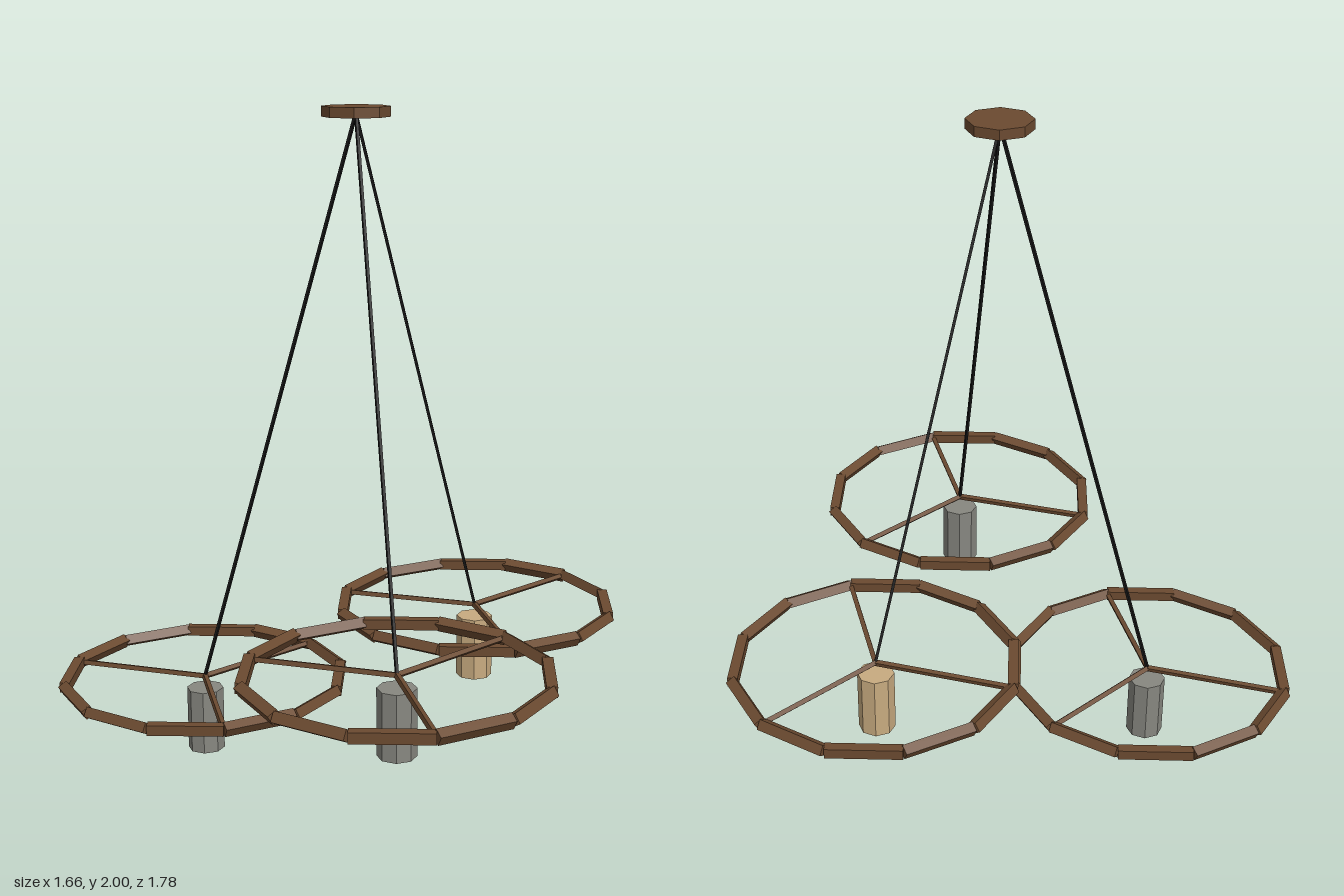
import * as THREE from 'three';

const mat = (name, color) => {
  const m = new THREE.MeshStandardMaterial({ color, flatShading: true });
  m.name = name;
  return m;
};

export function createModel() {
  const wood = mat('brown wood', 0x6b4a30);
  const cord = mat('black cord', 0x161616);
  const grey = mat('grey metal', 0x878780);
  const tan = mat('tan shade', 0xc8ab80);
  const UP = new THREE.Vector3(0, 1, 0);

  const add = (parent, name, geometry, material, position) => {
    const mesh = new THREE.Mesh(geometry, material);
    mesh.name = name;
    mesh.position.copy(position);
    parent.add(mesh);
    return mesh;
  };

  // Straight bar with a few sides running between two points
  const bar = (parent, name, a, b, radius, sides, material) => {
    const dir = b.clone().sub(a);
    const geometry = new THREE.CylinderGeometry(radius, radius, dir.length(), sides);
    const mesh = add(parent, name, geometry, material, a.clone().add(b).multiplyScalar(0.5));
    mesh.quaternion.setFromUnitVectors(UP, dir.normalize());
  };

  const model = new THREE.Group();
  model.name = 'ringChandelier';

  // Ceiling plate
  const canopyX = -0.127;
  add(model, 'ceilingPlate', new THREE.CylinderGeometry(0.098, 0.098, 0.03, 8), wood,
    new THREE.Vector3(canopyX, 1.985, 0));
  const anchor = new THREE.Vector3(canopyX, 1.98, 0);

  const ringRadius = 0.433;
  const spread = 0.505;
  const pendants = [
    { angle: 0, y: 0.405, shade: tan },
    { angle: 120, y: 0.49, shade: grey },
    { angle: 240, y: 0.237, shade: grey },
  ];

  pendants.forEach(({ angle, y, shade }, i) => {
    const pendant = new THREE.Group();
    pendant.name = `pendant${i + 1}`;
    model.add(pendant);
    const t = THREE.MathUtils.degToRad(angle);
    const hub = new THREE.Vector3(canopyX + spread * Math.cos(t), y, spread * Math.sin(t));
    const rim = (k) => {
      const a = (k * Math.PI) / 6;
      return new THREE.Vector3(Math.cos(a), 0, Math.sin(a)).multiplyScalar(ringRadius).add(hub);
    };

    // Twelve-piece wheel rim and three spokes
    for (let k = 0; k < 12; k++) bar(pendant, 'rimSegment', rim(k), rim(k + 1), 0.022, 4, wood);
    for (let k = 0; k < 12; k += 4) bar(pendant, 'spoke', hub, rim(k), 0.01, 4, wood);

    // Hanging cord and lamp shade
    bar(pendant, 'cord', anchor, hub, 0.006, 4, cord);
    add(pendant, 'lampShade', new THREE.CylinderGeometry(0.057, 0.057, 0.2, 8), shade,
      hub.clone().setY(y - 0.137));
  });

  return model;
}
